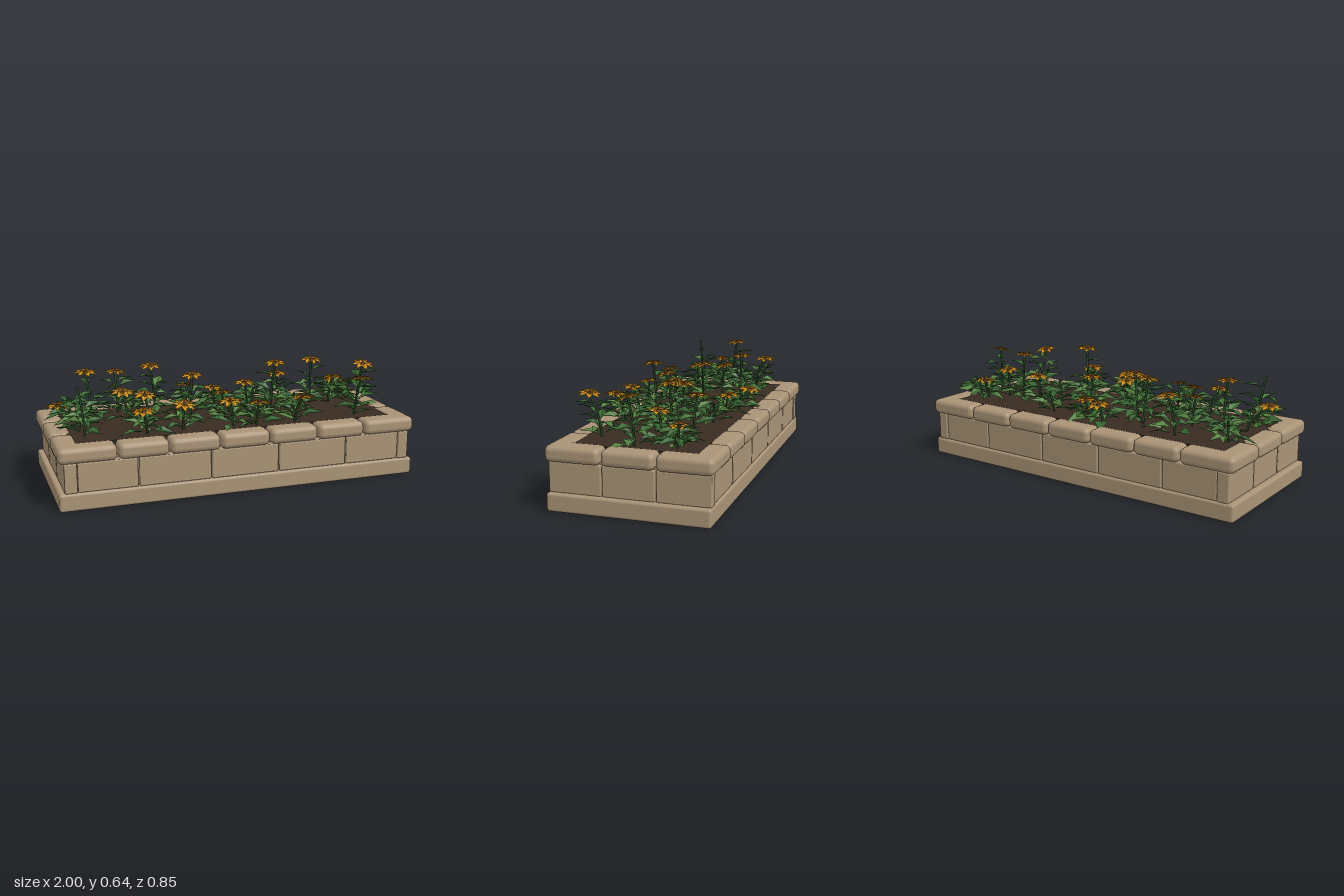
import * as THREE from 'three';
import { mergeGeometries } from 'three/addons/utils/BufferGeometryUtils.js';
import { RoundedBoxGeometry } from 'three/addons/geometries/RoundedBoxGeometry.js';

const mat = (name, color, extra = {}) => {
  const m = new THREE.MeshStandardMaterial({ color, ...extra });
  m.name = name;
  return m;
};

// Pointed blade along +z, folded along its midrib; used for leaves and petals
function blade(length, halfWidth, fold, droop) {
  const base = [0, 0, 0], mid = [0, 0, 0.45 * length], tip = [0, -droop, length];
  const left = [-halfWidth, fold, 0.42 * length], right = [halfWidth, fold, 0.42 * length];
  const faces = [base, left, mid, mid, left, tip, base, mid, right, mid, tip, right];
  const g = new THREE.BufferGeometry();
  g.setAttribute('position', new THREE.Float32BufferAttribute(faces.flat(), 3));
  g.computeVertexNormals();
  return g;
}

// Turn a blade to an azimuth, raise it by a pitch and move it into place
function placed(g, pos, azimuth, pitch, roll = 0) {
  const q = new THREE.Quaternion().setFromEuler(new THREE.Euler(-pitch, azimuth, roll, 'YXZ'));
  return g.applyMatrix4(new THREE.Matrix4().compose(pos, q, new THREE.Vector3(1, 1, 1)));
}

export function createModel() {
  const model = new THREE.Group();
  const double = { side: THREE.DoubleSide, flatShading: true };
  const stone = mat('stone', 0xa99376);
  const soilMat = mat('soil', 0x382b22);
  const stemMat = mat('stem green', 0x2a4a26);
  const greens = [mat('leaf green', 0x3a6633, double), mat('light leaf green', 0x53803f, double)];
  const petalMat = mat('petal gold', 0xd0901c, double);
  const innerMat = mat('inner petal amber', 0xb0741a, double);
  const centreMat = mat('flower centre brown', 0x85551a, { flatShading: true });

  let seed = 7;
  const rnd = (a = 0, b = 1) => {
    seed = (seed * 16807) % 2147483647;
    return a + (b - a) * (seed / 2147483647);
  };
  const add = (parent, name, geometry, material) => {
    const m = new THREE.Mesh(geometry, material);
    m.name = name;
    parent.add(m);
    return m;
  };
  // Rounded stone between two corners
  const block = (name, x0, x1, y0, y1, z0, z1, r) => {
    const m = add(model, name, new RoundedBoxGeometry(x1 - x0, y1 - y0, z1 - z0, 2, r), stone);
    m.position.set((x0 + x1) / 2, (y0 + y1) / 2, (z0 + z1) / 2);
  };
  // Calls back with each pair of neighbouring joints, leaving a narrow gap
  const spans = (joints, fn) => {
    for (let i = 0; i < joints.length - 1; i++) fn(joints[i] + 0.003, joints[i + 1] - 0.003);
  };

  // Plinth and hidden core
  block('plinth', -0.985, 0.99, 0, 0.094, -0.42, 0.412, 0.014);
  block('core', -0.93, 0.94, 0.05, 0.27, -0.365, 0.355, 0.005);

  // Wall blocks
  spans([-0.89, -0.575, -0.185, 0.192, 0.585, 0.905], (a, b) => {
    block('frontWallBlock', a, b, 0.093, 0.247, 0.33, 0.4, 0.006);
    block('backWallBlock', a, b, 0.093, 0.247, -0.41, -0.34, 0.006);
  });
  spans([-0.418, -0.141, 0.132, 0.408], (a, b) => {
    block('leftWallBlock', 0.905, 0.965, 0.093, 0.247, a, b, 0.006);
    block('rightWallBlock', -0.955, -0.89, 0.093, 0.247, a, b, 0.006);
  });

  // Bullnosed coping stones
  spans([-0.988, -0.68, -0.41, -0.136, 0.139, 0.414, 0.688, 0.993], (a, b) => {
    block('frontCoping', a, b, 0.247, 0.33, 0.295, 0.418, 0.028);
    block('backCoping', a, b, 0.247, 0.33, -0.433, -0.312, 0.028);
  });
  spans([-0.433, -0.143, 0.131, 0.42], (a, b) => {
    block('leftCoping', 0.87, 0.99, 0.247, 0.33, a, b, 0.028);
    block('rightCoping', -0.985, -0.865, 0.247, 0.33, a, b, 0.028);
  });

  // Soil
  const soil = add(model, 'soil', new THREE.BoxGeometry(1.79, 0.06, 0.64), soilMat);
  soil.position.set(0.002, 0.293, -0.008);

  // Flower head: two whorls of petals round a small cone
  function flowerHead() {
    const head = new THREE.Group();
    head.name = 'flowerHead';
    const whorl = (count, length, width, pitch, y, turn) => mergeGeometries(
      Array.from({ length: count }, (_, i) => placed(blade(length, width, 0.006, length * 0.12),
        new THREE.Vector3(0, y, 0), (i + turn) / count * Math.PI * 2, pitch)));
    add(head, 'outerPetals', whorl(8, 0.076, 0.019, 0.12, 0, 0), petalMat);
    add(head, 'innerPetals', whorl(8, 0.045, 0.012, 0.35, 0.006, 0.5), innerMat);
    add(head, 'flowerCentre', new THREE.ConeGeometry(0.016, 0.024, 6), centreMat).position.y = 0.012;
    return head;
  }

  // One plant: curved stem, spiral of leaves, optional flower
  function plant(x, z, top, flowers) {
    const g = new THREE.Group();
    g.name = 'plant';
    const bx = THREE.MathUtils.clamp(x * 0.97, -0.81, 0.82) + rnd(-0.02, 0.02);
    const bz = THREE.MathUtils.clamp(z * 0.93, -0.25, 0.25) + rnd(-0.02, 0.02);
    const path = new THREE.QuadraticBezierCurve3(
      new THREE.Vector3(bx, 0.31, bz),
      new THREE.Vector3(bx, (0.31 + top) / 2, bz),
      new THREE.Vector3(x, top, z));
    add(g, 'stem', new THREE.TubeGeometry(path, 4, 0.0065, 5), stemMat);
    const leaves = [[], []];
    const start = rnd(0, 6.28);
    const count = 15;
    for (let i = 0; i < count; i++) {
      const y = 0.33 + (Math.min(top - 0.03, 0.48) - 0.33) * (i / (count - 1));
      const p = path.getPoint((y - 0.31) / (top - 0.31));
      const azimuth = start + i * 2.4;
      const length = rnd(0.1, 0.15) * (1 - 0.25 * i / count);
      const reach = rnd(0, 0.03);
      p.x += Math.sin(azimuth) * reach;
      p.z += Math.cos(azimuth) * reach;
      leaves[i % 3 === 0 ? 1 : 0].push(placed(blade(length, length * rnd(0.2, 0.28), 0.012, length * 0.15),
        p, azimuth, rnd(-0.05, 0.55), rnd(-0.4, 0.4)));
    }
    // Tall stems carry one more leaf near the top
    if (top > 0.52) leaves[0].push(placed(blade(0.11, 0.026, 0.01, 0.015), path.getPoint(0.78), start, 0.3));
    leaves.forEach((set, i) => add(g, 'leaves', mergeGeometries(set), greens[i]));
    if (flowers) {
      const head = flowerHead();
      head.position.set(x, top, z);
      head.rotation.set(rnd(-0.15, 0.15), rnd(0, 6.28), rnd(-0.15, 0.15));
      g.add(head);
    }
    model.add(g);
  }

  // Flowering plants: x, z, height
  [
    [-0.54, -0.3, 0.54], [-0.36, -0.2, 0.58], [-0.12, -0.31, 0.43], [0.02, -0.23, 0.42],
    [0.4, -0.17, 0.49], [0.79, -0.2, 0.42], [-0.75, -0.065, 0.6], [-0.555, -0.045, 0.48],
    [-0.165, -0.025, 0.55], [0.14, -0.01, 0.49], [0.58, -0.08, 0.58], [0.715, -0.07, 0.47],
    [0.86, 0.03, 0.56], [-0.925, 0.07, 0.46], [-0.465, 0.1, 0.49], [-0.03, 0.095, 0.47],
    [0.27, 0.12, 0.62], [-0.52, 0.295, 0.45], [-0.29, 0.25, 0.46], [-0.04, 0.265, 0.46],
    [0.11, 0.305, 0.45], [0.36, 0.3, 0.46], [0.72, 0.29, 0.535],
  ].forEach(([x, z, top]) => plant(x, z, top, true));

  // Leafy plants without a flower
  [
    [-0.83, -0.2, 0.44], [-0.84, 0.2, 0.59], [0.28, -0.22, 0.43], [0.84, -0.22, 0.45], [0.42, 0.05, 0.43],
  ].forEach(([x, z, top]) => plant(x, z, top, false));

  return model;
}
